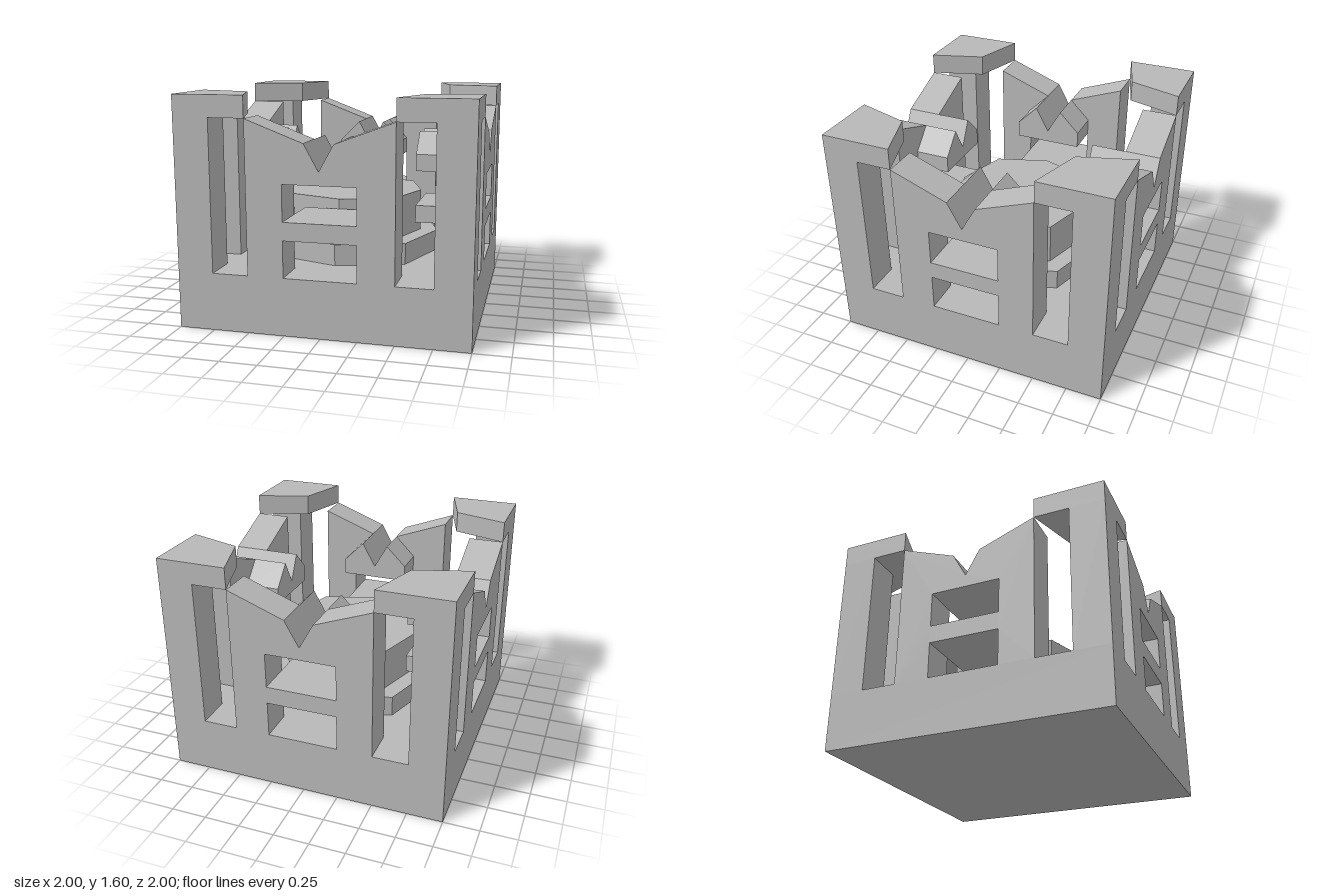
import * as THREE from 'three';

const stone = new THREE.MeshStandardMaterial({ color: 0xb8b8b8 });
stone.name = 'stone grey';

const outline = (pts, Kind = THREE.Shape) => new Kind(pts.map(p => new THREE.Vector2(p[0], p[1])));

function add(parent, name, geometry) {
  const mesh = new THREE.Mesh(geometry, stone);
  mesh.name = name;
  parent.add(mesh);
  return mesh;
}

function box(parent, name, x0, x1, y0, y1, z0, z1) {
  const mesh = add(parent, name, new THREE.BoxGeometry(x1 - x0, y1 - y0, z1 - z0));
  mesh.position.set((x0 + x1) / 2, (y0 + y1) / 2, (z0 + z1) / 2);
}

// Profile in x, y pushed from z0 to z1
function wallSlice(parent, name, shape, z0, z1) {
  const geometry = new THREE.ExtrudeGeometry(shape, { depth: z1 - z0, bevelEnabled: false });
  add(parent, name, geometry.translate(0, 0, z0));
}

// Plan in x, z raised from y0 to y1
function raisedPlan(parent, name, plan, y0, y1) {
  const shape = outline(plan.map(([x, z]) => [x, -z]));
  const geometry = new THREE.ExtrudeGeometry(shape, { depth: y1 - y0, bevelEnabled: false });
  add(parent, name, geometry.rotateX(-Math.PI / 2).translate(0, y0, 0));
}

// Eight-sided plan with separate reaches on the axes and the diagonals
function octagon(axis, diagonal) {
  return Array.from({ length: 8 }, (_, i) => {
    const a = i * Math.PI / 4;
    const r = i % 2 ? diagonal * Math.SQRT2 : axis;
    return [Math.cos(a) * r, Math.sin(a) * r];
  });
}

const windowHole = (y0, y1) =>
  outline([[-0.25, y0], [-0.25, y1], [0.25, y1], [0.25, y0]], THREE.Path);

export function createModel() {
  const model = new THREE.Group();
  model.name = 'fort';

  // Solid base and the stepped platform in the courtyard
  box(model, 'base', -1, 1, 0, 0.4, -1, 1);
  raisedPlan(model, 'lowerStep', octagon(0.625, 0.47), 0.4, 0.55);
  raisedPlan(model, 'upperStep', octagon(0.5, 0.375), 0.55, 0.85);

  // Outer wall with a notched top and two windows
  const wall = outline([[-0.5, 0.4], [0.5, 0.4], [0.5, 1.45], [0.1, 1.3],
    [0, 1.12], [-0.1, 1.3], [-0.5, 1.45]]);
  wall.holes.push(windowHole(0.4005, 0.655), windowHole(0.78, 1.03));

  // Notched block behind the top of the wall
  const lintel = outline([[-0.25, 1.03], [0.25, 1.03], [0.25, 1.15], [0.1, 1.3],
    [0, 1.12], [-0.1, 1.3], [-0.25, 1.15]]);

  for (let i = 0; i < 4; i++) {
    const side = new THREE.Group();
    side.name = 'side' + (i + 1);
    side.rotation.y = i * Math.PI / 2;

    wallSlice(side, 'wall', wall, 0.75, 1);
    wallSlice(side, 'innerLintel', lintel, 0.5, 0.75);
    box(side, 'innerBar', -0.25, 0.25, 0.655, 0.78, 0.5, 0.75);

    // Corner tower: slim post under a kite-shaped cap
    box(side, 'towerPost', 0.75, 1, 0.4, 1.45, 0.75, 1);
    raisedPlan(side, 'towerCap', [[0.5, 1], [1, 1], [1, 0.5], [0.62, 0.62]], 1.45, 1.6);
    model.add(side);
  }
  return model;
}
